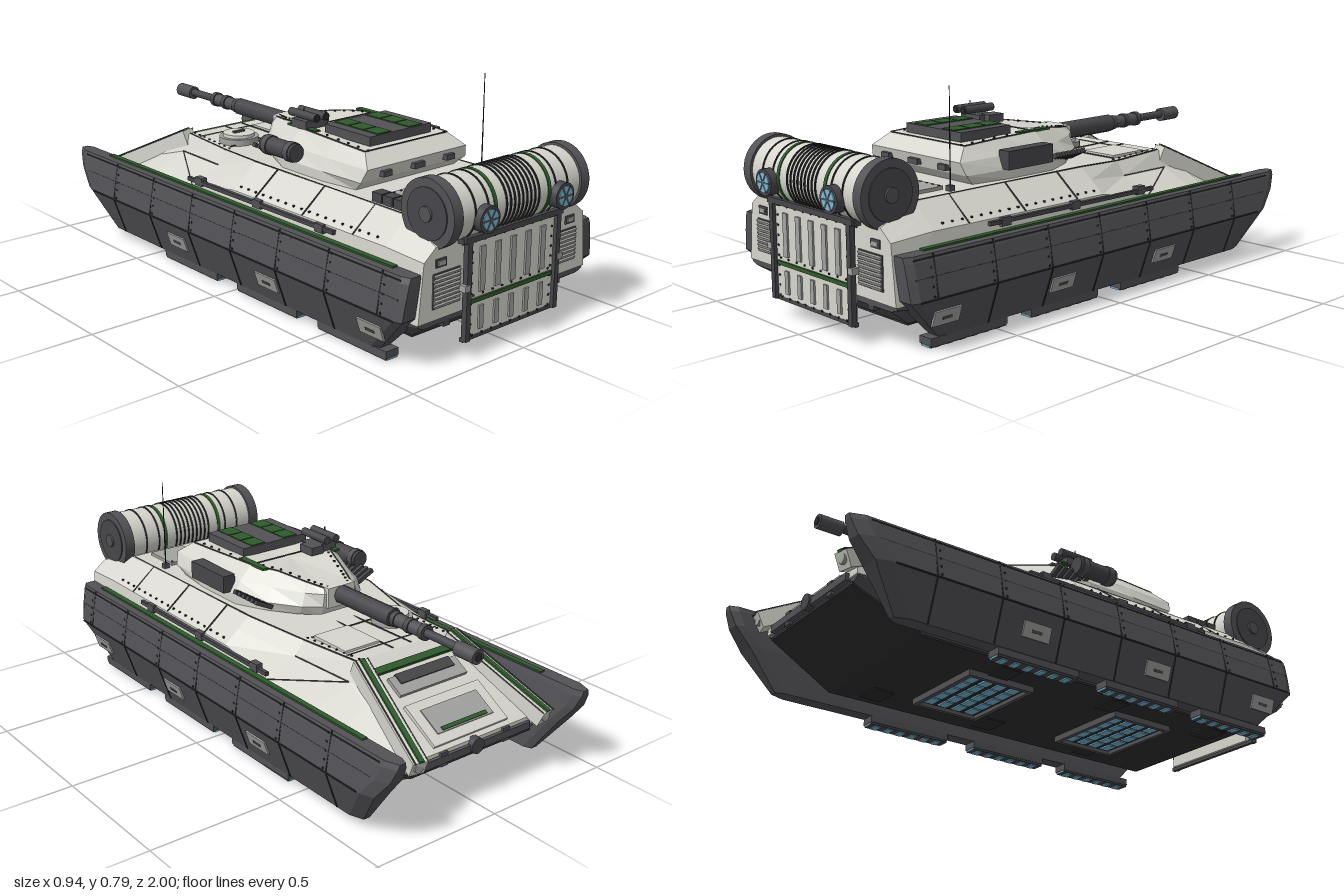
import * as THREE from 'three';
import { mergeGeometries } from 'three/addons/utils/BufferGeometryUtils.js';

const paint = (name, color) => { const m = new THREE.MeshStandardMaterial({ color }); m.name = name; return m; };

export function createModel() {
  const root = new THREE.Group();
  root.name = 'hoverTank';
  const light = paint('lightArmour', 0xd6d6ce), dark = paint('darkArmour', 0x525256), black = paint('seamBlack', 0x2b2b2d),
    green = paint('greenStripe', 0x2f5a2c), cyan = paint('cyanGlow', 0x78bad8), grey = paint('panelGrey', 0xa3a3a0),
    under = paint('undersideCharcoal', 0x303032), steel = paint('gunSteel', 0x47474b);
  const V = (p) => new THREE.Vector3(...p);
  const add = (name, geo, mat, p = [0, 0, 0], r = [0, 0, 0]) => {
    const m = new THREE.Mesh(geo, mat);
    m.name = name; m.position.set(...p); m.rotation.set(...r);
    root.add(m);
  };
  const box = (name, mat, size, p, r) => add(name, new THREE.BoxGeometry(...size), mat, p, r);
  const cyl = (name, mat, r, len, p, axis = 'y', r2 = r, n = 24) => add(name, new THREE.CylinderGeometry(r2, r, len, n), mat, p,
    axis === 'x' ? [0, 0, -Math.PI / 2] : axis === 'z' ? [Math.PI / 2, 0, 0] : [0, 0, 0]);
  // Box strut geometry running from a to b
  const strutGeo = (a, b, w, h = w) => {
    const A = V(a), B = V(b), g = new THREE.BoxGeometry(w, h, A.distanceTo(B));
    const m = new THREE.Matrix4().lookAt(B, A, new THREE.Vector3(0, Math.abs(B.y - A.y) > 0.9 * A.distanceTo(B) ? 0 : 1, 0.01));
    return g.applyMatrix4(m).translate((a[0] + b[0]) / 2, (a[1] + b[1]) / 2, (a[2] + b[2]) / 2);
  };
  const strut = (name, mat, a, b, w, h) => add(name, strutGeo(a, b, w, h), mat);
  // Closed solid from equal-length loops; flips itself to face outward
  const loft = (loops) => {
    const tris = [], n = loops[0].length;
    for (let k = 0; k + 1 < loops.length; k++) for (let i = 0; i < n; i++) {
      const j = (i + 1) % n, a = loops[k][i], b = loops[k][j], c = loops[k + 1][j], d = loops[k + 1][i];
      tris.push([a, b, c], [a, c, d]);
    }
    [[loops[0], true], [loops[loops.length - 1], false]].forEach(([L, rev]) => {
      const mid = [0, 1, 2].map((t) => L.reduce((s, p) => s + p[t], 0) / n);
      L.forEach((p, i) => { const q = L[(i + 1) % n]; tris.push(rev ? [mid, q, p] : [mid, p, q]); });
    });
    const vol = tris.reduce((s, [a, b, c]) => s + V(a).dot(V(b).cross(V(c))), 0);
    const g = new THREE.BufferGeometry();
    const pos = tris.flatMap(([a, b, c]) => (vol > 0 ? [a, b, c] : [a, c, b]).flat());
    g.setAttribute('position', new THREE.Float32BufferAttribute(pos, 3));
    g.computeVertexNormals();
    return g;
  };
  const mirrored = (half) => [...half, ...half.slice().reverse().map(([x, y, z]) => [-x, y, z])];
  const section = (z, pts) => mirrored(pts.map(([x, y]) => [x, y, z]));
  const both = (fn) => [1, -1].forEach(fn);

  // Hull
  add('upperHull', loft([
    section(0.915, [[0.4, 0.16], [0.38, 0.36], [0.355, 0.38], [0.33, 0.4]]),
    section(0.75, [[0.4, 0.16], [0.385, 0.37], [0.335, 0.412], [0.29, 0.45]]),
    section(-0.03, [[0.4, 0.16], [0.385, 0.365], [0.33, 0.409], [0.28, 0.45]]),
    section(-0.28, [[0.4, 0.16], [0.385, 0.325], [0.265, 0.378], [0.228, 0.43]]),
    section(-0.54, [[0.385, 0.16], [0.378, 0.31], [0.24, 0.37], [0.205, 0.435]]),
    section(-0.66, [[0.37, 0.17], [0.365, 0.29], [0.26, 0.335], [0.225, 0.36]]),
    section(-0.89, [[0.3, 0.2], [0.3, 0.22], [0.285, 0.226], [0.27, 0.231]])]), light);
  add('lowerHull', loft([
    section(0.91, [[0.37, 0.14], [0.396, 0.15], [0.4, 0.16]]),
    section(0.79, [[0.3, 0.06], [0.395, 0.13], [0.4, 0.16]]),
    section(-0.64, [[0.3, 0.06], [0.39, 0.13], [0.385, 0.17]]),
    section(-0.885, [[0.27, 0.18], [0.295, 0.195], [0.3, 0.21]])]), dark);
  add('bellyPlate', loft([
    section(0.79, [[0.299, 0.053], [0.299, 0.064]]),
    section(-0.64, [[0.299, 0.053], [0.299, 0.064]]),
    section(-0.888, [[0.269, 0.174], [0.269, 0.185]])]), under);
  [0.4, -0.24].forEach((z) => {
    box('bellyFanBed', black, [0.32, 0.01, 0.24], [0, 0.05, z]);
    both((s) => {
      box('bellyFanFrameSide', dark, [0.016, 0.024, 0.27], [s * 0.167, 0.043, z]);
      box('bellyFanFrameEnd', dark, [0.35, 0.024, 0.016], [0, 0.043, z + s * 0.127]);
    });
    for (let i = 0; i < 5; i++) for (let j = 0; j < 4; j++)
      box('bellyFanGlow', cyan, [0.052, 0.006, 0.036], [-0.122 + i * 0.061, 0.043, z - 0.087 + j * 0.058]);
  });
  for (let i = 0; i < 6; i++) box('bellyHatch', black, [0.1, 0.006, 0.08], [i % 2 ? 0.21 : -0.21, 0.051, 0.7 - i * 0.24]);

  // Side skirts with pads, plates and stripe
  const level = (s, y, xi, xo, zf, zb) => [[xi, zb], [xo - 0.012, zb], [xo, zb - 0.03], [xo, zf + 0.05], [xo - 0.018, zf], [xi + 0.012, zf], [xi, zf + 0.03]]
    .map(([x, z]) => [x * s, y, z]);
  const skirtX = (y) => (y > 0.18 ? 0.465 - (y - 0.18) * 0.18 : 0.415 + (y - 0.03) / 3);
  const seams = [], hullSeams = [], dots = [];
  const seam = (a, b) => seams.push(strutGeo(a, b, 0.005));
  const hullSeam = (a, b) => hullSeams.push(strutGeo(a, b, 0.004));
  const rivets = (a, b, n) => {
    for (let i = 0; i < n; i++) {
      const p = V(a).lerp(V(b), i / (n - 1));
      dots.push(new THREE.BoxGeometry(0.006, 0.006, 0.006).translate(p.x, p.y, p.z));
    }
  };
  both((s) => {
    add('sideSkirt', loft([level(s, 0.035, 0.36, 0.415, -0.81, 0.755), level(s, 0.18, 0.365, 0.465, -0.915, 0.9),
      level(s, 0.25, 0.373, 0.455, -0.972, 0.905), level(s, 0.302, 0.38, 0.445, -0.995, 0.908), level(s, 0.322, 0.385, 0.438, -0.998, 0.908)]), dark);
    box('skirtStripe', green, [0.02, 0.008, 1.62], [s * 0.399, 0.324, 0]);
    for (let z = -0.7; z < 0.85; z += 0.25) {
      seam([s * 0.44, 0.32, z], [s * 0.465, 0.18, z]);
      if (z < 0.7) seam([s * 0.465, 0.18, z], [s * 0.416, 0.037, z]);
      rivets([s * 0.443, 0.31, z + 0.015], [s * 0.464, 0.19, z + 0.015], 5);
    }
    [[0.25, -0.9, 0.88], [0.18, -0.85, 0.87], [0.31, -0.93, 0.88]].forEach(([y, a, b]) => seam([s * skirtX(y), y, a], [s * skirtX(y), y, b]));
    rivets([s * 0.441, 0.302, -0.9], [s * 0.441, 0.302, 0.87], 36);
    [0.75, 0.23, -0.3].forEach((z) => {
      box('skirtMarker', grey, [0.008, 0.055, 0.11], [s * 0.443, 0.11, z], [0, 0, -s * 0.32]);
      box('skirtMarkerSlot', dark, [0.011, 0.01, 0.04], [s * 0.443, 0.108, z], [0, 0, -s * 0.32]);
    });
    [0.625, 0.185, -0.265].forEach((z) => {
      box('hoverPad', dark, [0.055, 0.025, 0.33], [s * 0.385, 0.0235, z]);
      box('hoverPadRim', steel, [0.05, 0.008, 0.325], [s * 0.385, 0.008, z]);
      both((e) => box('hoverPadEndGlow', cyan, [0.042, 0.006, 0.004], [s * 0.385, 0.007, z + e * 0.163]));
      for (let i = 0; i < 6; i++) box('hoverPadGlow', cyan, [0.038, 0.005, 0.024], [s * 0.385, 0.0025, z - 0.13 + i * 0.052]);
    });
    // Rail and clamps along the hull side
    strut('sideRail', steel, [s * 0.392, 0.355, 0.52], [s * 0.392, 0.35, -0.29], 0.014);
    [0.45, 0.12, -0.22].forEach((z) => box('railClamp', dark, [0.025, 0.03, 0.04], [s * 0.388, 0.353, z]));
    // Upper hull seams
    [0.6, 0.35, 0.1].forEach((z) => hullSeam([s * 0.386, 0.37, z], [s * 0.286, 0.45, z]));
    hullSeam([s * 0.286, 0.45, 0.74], [s * 0.28, 0.45, -0.03]);
    hullSeam([s * 0.28, 0.45, -0.03], [s * 0.228, 0.43, -0.28]);
    hullSeam([s * 0.228, 0.43, -0.28], [s * 0.205, 0.435, -0.54]);
    hullSeam([s * 0.265, 0.378, -0.28], [s * 0.24, 0.37, -0.54]);
    hullSeam([s * 0.385, 0.325, -0.28], [s * 0.24, 0.37, -0.54]);
    rivets([s * 0.37, 0.385, 0.7], [s * 0.37, 0.38, 0], 18);
    rivets([s * 0.21, 0.431, -0.28], [s * 0.19, 0.436, -0.53], 8);
  });

  // Sloped bow: framing beams, vision slit, access plate, tow gear
  const tilt = [-0.53, 0, 0], bowY = (z) => 0.435 + 0.59 * (z + 0.54);
  both((s) => {
    const a = [s * 0.203, 0.42, -0.545], b = [s * 0.285, 0.235, -0.935];
    strut('bowBeam', light, a, b, 0.055, 0.06);
    strut('bowBeamStripe', green, [a[0], a[1] + 0.029, a[2] - 0.014], [b[0], b[1] + 0.029, b[2] - 0.014], 0.018, 0.01);
    both((t) => hullSeam([a[0] + t * 0.024, a[1] + 0.028, a[2] - 0.014], [b[0] + t * 0.024, b[1] + 0.028, b[2] - 0.014]));
    cyl('bowLamp', grey, 0.018, 0.02, [s * 0.285, 0.24, -0.93], 'z');
    box('towBracket', dark, [0.03, 0.05, 0.03], [s * 0.14, 0.205, -0.885]);
  });
  box('bowStripe', green, [0.4, 0.014, 0.025], [0, bowY(-0.6) + 0.01, -0.6], tilt);
  box('visionSlitFrame', grey, [0.3, 0.016, 0.075], [0, bowY(-0.66) + 0.002, -0.66], tilt);
  box('visionSlit', steel, [0.24, 0.012, 0.04], [0, bowY(-0.645) + 0.01, -0.645], tilt);
  box('bowPlate', light, [0.33, 0.024, 0.17], [0, bowY(-0.8), -0.8], tilt);
  box('bowPlateInset', grey, [0.25, 0.01, 0.1], [0, bowY(-0.805) + 0.013, -0.805], tilt);
  box('bowPlateStripe', green, [0.2, 0.008, 0.014], [0, bowY(-0.84) + 0.018, -0.84], tilt);
  strut('bowRoller', dark, [-0.25, 0.205, -0.89], [0.25, 0.205, -0.89], 0.026);
  cyl('bowTowEye', steel, 0.028, 0.03, [0, 0.21, -0.895], 'z');

  // Forward deck with round hatch
  box('forwardDeckPanel', light, [0.15, 0.012, 0.17], [0.12, 0.436, -0.38]);
  cyl('hatchRing', grey, 0.075, 0.025, [-0.12, 0.442, -0.34]);
  cyl('hatchLid', light, 0.06, 0.02, [-0.12, 0.457, -0.34]);
  box('hatchHandle', dark, [0.05, 0.01, 0.015], [-0.12, 0.469, -0.34]);
  both((s) => hullSeam([s * 0.04, 0.432, -0.2], [s * 0.04, 0.436, -0.53]));
  [-0.29, -0.48].forEach((z) => hullSeam([-0.2, 0.434, z], [0.2, 0.434, z]));

  // Turret
  const top = [[0.06, 0.55, -0.18], [0.09, 0.56, -0.11], [0.13, 0.577, 0], [0.175, 0.582, 0.1], [0.195, 0.582, 0.3], [0.195, 0.575, 0.45]];
  const at = (y, pts) => mirrored(pts.map(([x, z]) => [x, y, z]));
  add('turretBody', loft([
    at(0.45, [[0.07, -0.18], [0.13, -0.13], [0.2, -0.03], [0.255, 0.09], [0.255, 0.3], [0.235, 0.45]]),
    at(0.485, [[0.075, -0.195], [0.135, -0.15], [0.205, -0.045], [0.257, 0.09], [0.257, 0.3], [0.25, 0.49]]),
    at(0.53, [[0.07, -0.195], [0.115, -0.14], [0.175, -0.02], [0.23, 0.095], [0.238, 0.3], [0.235, 0.505]]),
    mirrored(top)]), light);
  for (let i = 0; i < 5; i++) both((s) => {
    const [a, b] = [top[i], top[i + 1]];
    hullSeam([s * a[0], a[1], a[2]], [s * b[0], b[1], b[2]]);
    rivets([s * (a[0] - 0.015), a[1] + 0.001, a[2]], [s * (b[0] - 0.015), b[1] + 0.001, b[2]], 4);
  });
  hullSeam([-0.195, 0.575, 0.45], [0.195, 0.575, 0.45]);
  hullSeam([-0.175, 0.582, 0.1], [0.175, 0.582, 0.1]);
  both((s) => box('turretStripe', green, [0.025, 0.008, 0.15], [s * 0.165, 0.582, 0.1]));
  box('roofHatch', dark, [0.29, 0.033, 0.23], [0, 0.593, 0.305]);
  both((s) => {
    for (let i = 0; i < 3; i++) box('roofHatchStripe', green, [0.062, 0.008, 0.07], [s * 0.074, 0.609, 0.23 + i * 0.075]);
    box('turretRearLatch', dark, [0.04, 0.02, 0.02], [s * 0.15, 0.505, 0.505]);
    // Smoke launcher rows on the turret cheeks
    for (let i = 0; i < 6; i++)
      strut('smokeLauncher', steel, [s * 0.2, 0.472, -0.055 + i * 0.026], [s * 0.268, 0.505, -0.055 + i * 0.026], 0.016);
  });
  box('turretRearLatch', dark, [0.05, 0.02, 0.02], [0, 0.505, 0.505]);
  box('turretSideBox', steel, [0.05, 0.065, 0.21], [0.26, 0.52, 0.225]);
  cyl('turretSideCanister', steel, 0.032, 0.17, [-0.27, 0.525, 0.1], 'z');
  [0.04, 0.16].forEach((z) => cyl('canisterBand', dark, 0.036, 0.025, [-0.27, 0.525, z], 'z'));
  // Roof optics
  box('opticBase', dark, [0.1, 0.03, 0.08], [-0.13, 0.595, 0.09]);
  [-0.165, -0.122].forEach((x) => {
    cyl('opticTube', steel, 0.015, 0.14, [x, 0.628, 0.1], 'z');
    cyl('opticLens', black, 0.011, 0.006, [x, 0.628, 0.171], 'z');
  });
  box('opticBox', dark, [0.055, 0.03, 0.07], [-0.08, 0.596, 0.07]);
  cyl('opticAerial', steel, 0.002, 0.03, [-0.165, 0.64, 0.1]);

  // Main gun
  box('gunMantlet', light, [0.12, 0.075, 0.06], [0, 0.515, -0.175]);
  cyl('gunSleeve', steel, 0.034, 0.28, [0, 0.52, -0.345], 'z', 0.034, 8);
  cyl('gunCollar', dark, 0.024, 0.17, [0, 0.52, -0.56], 'z');
  [-0.5, -0.57, -0.64].forEach((z) => cyl('gunBand', steel, 0.028, 0.02, [0, 0.52, z], 'z'));
  cyl('gunBarrel', steel, 0.015, 0.3, [0, 0.52, -0.74], 'z');
  cyl('muzzleBrake', dark, 0.026, 0.09, [0, 0.518, -0.842], 'z');
  cyl('muzzleBore', black, 0.014, 0.006, [0, 0.518, -0.888], 'z');

  // Rear deck
  both((s) => {
    box('engineHatch', grey, [0.145, 0.014, 0.15], [s * 0.152, 0.455, 0.645]);
    box('engineHatchHandle', dark, [0.02, 0.012, 0.04], [s * 0.09, 0.464, 0.645]);
    rivets([s * 0.09, 0.462, 0.58], [s * 0.215, 0.462, 0.58], 5);
  });
  [0.59, 0.64, 0.69].forEach((z) => box('deckVent', steel, [0.045, 0.04, 0.044], [-0.25, 0.462, z]));
  box('aerialBase', dark, [0.022, 0.02, 0.022], [0.254, 0.458, 0.565]);
  cyl('aerial', black, 0.0025, 0.335, [0.254, 0.627, 0.565], 'y', 0.0015, 6);

  // Fuel drum
  const drumY = 0.493, drumZ = 0.865;
  const band = (name, mat, x, r, w) => cyl(name, mat, r, w, [x, drumY, drumZ], 'x', r, 40);
  band('drumBody', light, 0, 0.105, 0.58);
  for (let i = -4; i <= 4; i++) band('drumRib', black, i * 0.0193, 0.109, 0.006);
  both((s) => {
    band('drumEnd', dark, s * 0.3, 0.114, 0.04);
    band('drumCap', steel, s * 0.32, 0.085, 0.008);
    band('drumHub', dark, s * 0.324, 0.025, 0.016);
    band('drumStripe', green, s * 0.128, 0.108, 0.014);
    [0.16, 0.218].forEach((x) => band('drumBand', black, s * x, 0.108, 0.006));
    box('drumCradle', dark, [0.03, 0.06, 0.16], [s * 0.2, 0.41, 0.84]);
    // Tail lamps
    cyl('tailLampHousing', steel, 0.045, 0.06, [s * 0.178, 0.475, 0.965], 'z');
    cyl('tailLampLens', cyan, 0.034, 0.006, [s * 0.178, 0.475, 0.996], 'z');
    for (let i = 0; i < 3; i++) box('tailLampSpoke', dark, [0.072, 0.006, 0.006], [s * 0.178, 0.475, 0.997], [0, 0, i * Math.PI / 3]);
    cyl('tailLampHub', dark, 0.008, 0.008, [s * 0.178, 0.475, 0.996], 'z');
    // Rear frame, louvres and marker lights
    strut('rearFramePost', steel, [s * 0.212, 0.065, 0.94], [s * 0.212, 0.41, 0.94], 0.02);
    box('rearFrameClamp', grey, [0.024, 0.022, 0.026], [s * 0.222, 0.247, 0.94]);
    strut('rearFrameArm', steel, [s * 0.225, 0.4, 0.94], [s * 0.225, 0.4, 0.85], 0.018);
    box('louvreBack', dark, [0.118, 0.116, 0.008], [s * 0.282, 0.257, 0.916]);
    for (let i = 0; i < 8; i++) box('louvre', grey, [0.114, 0.01, 0.01], [s * 0.282, 0.208 + i * 0.014, 0.92], [0.4, 0, 0]);
    box('markerFrame', dark, [0.045, 0.028, 0.012], [s * 0.308, 0.347, 0.914]);
    box('markerLight', grey, [0.032, 0.016, 0.006], [s * 0.308, 0.347, 0.921]);
    box('rearTowHook', steel, [0.03, 0.022, 0.03], [s * 0.267, 0.135, 0.895]);
    rivets([s * 0.19, 0.08, 0.937], [s * 0.19, 0.39, 0.937], 10);
  });
  strut('rearFrameTop', steel, [-0.232, 0.404, 0.94], [0.232, 0.404, 0.94], 0.02);
  strut('rearFrameBottom', steel, [-0.222, 0.068, 0.93], [0.222, 0.068, 0.93], 0.014);

  // Rear door
  box('rearDoor', light, [0.404, 0.325, 0.025], [0, 0.235, 0.924]);
  box('rearDoorStripe', green, [0.39, 0.014, 0.01], [0, 0.193, 0.938]);
  for (let i = -2; i <= 2; i++) {
    box('rearDoorRib', grey, [0.024, 0.15, 0.008], [i * 0.072, 0.293, 0.939]);
    box('rearDoorLowerRib', grey, [0.02, 0.08, 0.008], [i * 0.072, 0.13, 0.939]);
  }
  [0.075, 0.21, 0.39].forEach((y) => rivets([-0.18, y, 0.937], [0.18, y, 0.937], 9));

  add('skirtSeams', mergeGeometries(seams), black);
  add('hullSeams', mergeGeometries(hullSeams), steel);
  add('rivets', mergeGeometries(dots), black);
  return root;
}
